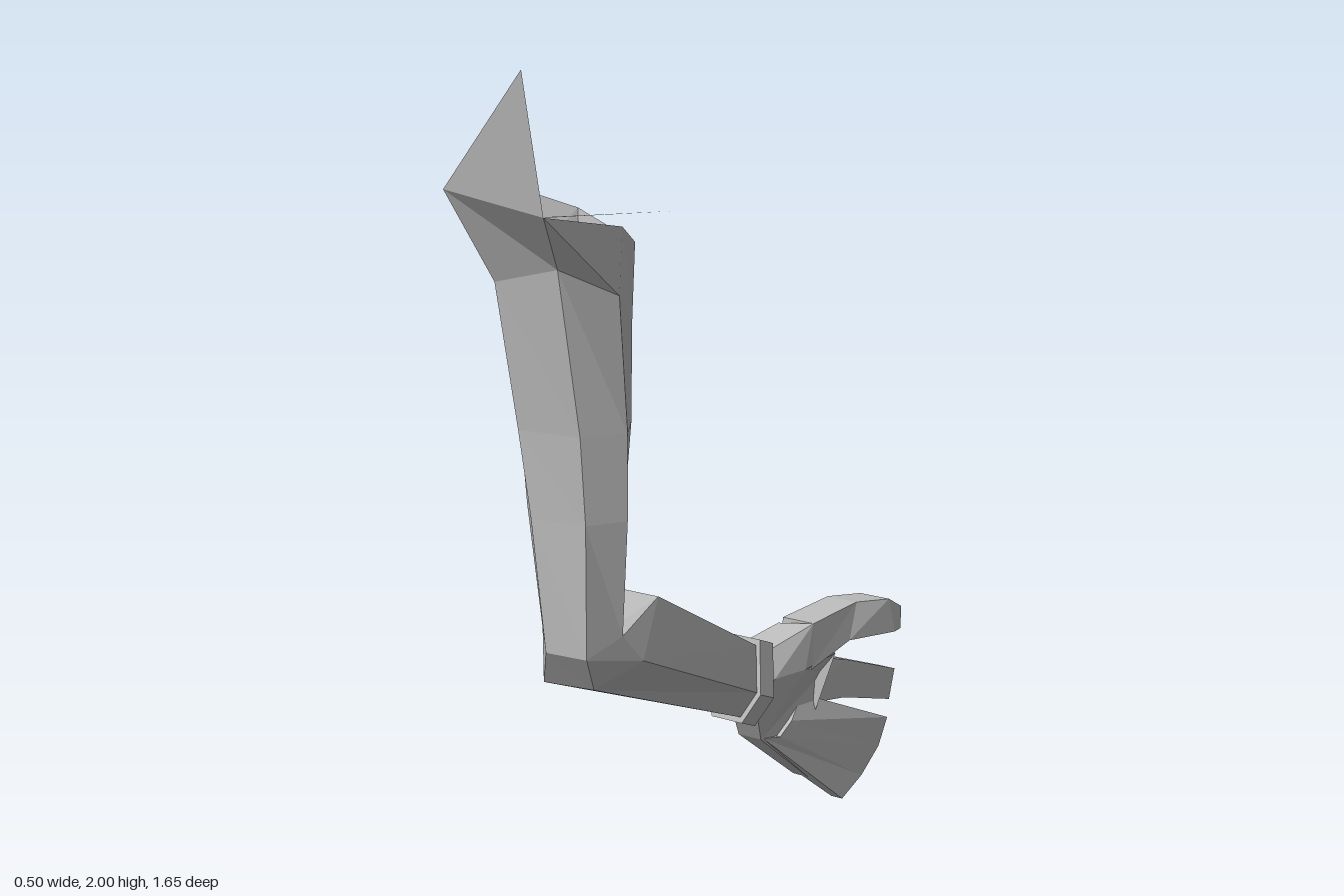
import * as THREE from 'three';

const skin = new THREE.MeshStandardMaterial({ color: 0xbbbbbb, side: THREE.DoubleSide, flatShading: true });
skin.name = 'plain grey';

// Skins a list of closed cross-sections; optional caps close the ends.
function loft(name, rings, capStart = false, capEnd = false) {
  const n = rings[0].length, pos = [];
  const tri = (a, b, c) => pos.push(...a, ...b, ...c);
  for (let i = 0; i < rings.length - 1; i++) {
    for (let j = 0; j < n; j++) {
      const k = (j + 1) % n, p = rings[i], q = rings[i + 1];
      tri(p[j], q[j], q[k]);
      tri(p[j], q[k], p[k]);
    }
  }
  const first = rings[0], last = rings[rings.length - 1];
  for (let j = 1; j < n - 1; j++) {
    if (capStart) tri(first[0], first[j], first[j + 1]);
    if (capEnd) tri(last[0], last[j + 1], last[j]);
  }
  return meshFrom(name, pos);
}

function meshFrom(name, pos) {
  const g = new THREE.BufferGeometry();
  g.setAttribute('position', new THREE.Float32BufferAttribute(pos, 3));
  g.computeVertexNormals();
  const m = new THREE.Mesh(g, skin);
  m.name = name;
  return m;
}

// Scales a ring about its own centre, then shifts it.
function resize(ring, s, shift) {
  const c = [0, 1, 2].map(a => ring.reduce((t, p) => t + p[a], 0) / ring.length);
  return ring.map(p => p.map((v, a) => c[a] + (v - c[a]) * s + shift[a]));
}

// Four-sided section: upper and lower edge at (y, z), spanning x0 to x1.
const quad = (x0, x1, yTop, zTop, yLow, zLow) =>
  [[x0, yLow, zLow], [x1, yLow, zLow], [x1, yTop, zTop], [x0, yTop, zTop]];

export function createModel() {
  const group = new THREE.Group();
  group.name = 'arm';

  // Ring order: front left, front right, right, back right, back left, left
  const rim = [[-.12, 1.735, .79], [.15, 1.695, .78], [.13, 1.645, .5], [.1, 1.6, .42], [-.1, 1.655, .375], [-.25, 1.74, .56]];
  const shoulder = [[-.07, 1.53, .69], [.1, 1.57, .68], [.145, 1.5, .53], [.09, 1.42, .42], [-.06, 1.42, .42], [-.145, 1.5, .56]];
  const bicep = [[-.05, 1.2, .645], [.11, 1.2, .625], [.165, 1.2, .53], [.09, 1.2, .425], [-.04, 1.2, .43], [-.13, 1.2, .55]];
  const lowerBicep = [[-.03, 1, .63], [.11, 1, .61], [.155, 1, .52], [.08, 1, .44], [-.04, 1, .45], [-.12, 1, .54]];
  const elbow = [[-.01, .69, .61], [.1, .69, .6], [.13, .73, .51], [.09, .745, .48], [-.04, .75, .48], [-.08, .72, .54]];
  const forearm = [[-.07, .595, .55], [.07, .6, .54], [.14, .66, .45], [.08, .77, .32], [-.1, .77, .32], [-.15, .64, .4]];
  const wrist = [[-.07, .355, -.09], [.01, .355, -.09], [.045, .42, -.11], [.02, .53, -.14], [-.09, .53, -.14], [-.115, .44, -.12]];

  group.add(loft('tornCollar', [rim, shoulder]));
  group.add(loft('upperArm', [shoulder, bicep, lowerBicep, elbow]));
  group.add(loft('forearm', [elbow, forearm, wrist]));

  // Loose torn shards on the collar
  group.add(meshFrom('tallShard', [-.12, 1.735, .79, .15, 1.695, .78, .14, 2, .83]));
  group.add(meshFrom('sideShard', [.15, 1.695, .78, .25, 1.685, .47, .125, 1.69, .73]));

  // Wrist band, a solid ring around the wrist
  const step = [0, -.022, -.055];
  group.add(loft('wristBand', [
    resize(wrist, .9, [0, 0, 0]), resize(wrist, 1.16, [0, 0, 0]),
    resize(wrist, 1.16, step), resize(wrist, .9, step),
  ]));

  // Palm
  group.add(loft('palm', [
    resize(wrist, .85, [0, -.01, -.04]),
    [[-.08, .35, -.17], [0, .35, -.17], [.035, .43, -.2], [.01, .5, -.22], [-.08, .5, -.22], [-.11, .42, -.2]],
    [[-.1, .25, -.23], [-.03, .25, -.23], [.05, .43, -.31], [.045, .54, -.35], [-.05, .53, -.33], [-.15, .38, -.28]],
    [[-.085, .085, -.45], [-.04, .085, -.45], [-.03, .36, -.5], [.03, .43, -.47], [-.06, .44, -.47], [-.135, .38, -.48]],
  ], false, true));

  // Thumb
  group.add(loft('thumb', [
    quad(-.05, .045, .54, -.35, .42, -.34),
    quad(-.03, .06, .56, -.52, .465, -.49),
    quad(.01, .1, .555, -.61, .46, -.64),
    quad(.04, .085, .515, -.69, .455, -.69),
  ], true, true));

  // Index finger
  group.add(loft('indexFinger', [
    quad(-.135, -.04, .41, -.45, .29, -.42),
    quad(-.12, -.03, .37, -.6, .265, -.6),
    quad(-.07, -.02, .29, -.825, .21, -.8),
  ], true, true));

  // Closed remaining fingers as one fanned slab: [baseZ, baseY, tipZ, tipY, x0, x1]
  const fan = [
    [-.42, .32, -.77, .17, -.13, -.04],
    [-.35, .27, -.73, .1, -.13, -.02],
    [-.3, .24, -.65, .04, -.12, -.02],
    [-.24, .25, -.56, 0, -.1, -.03],
  ];
  group.add(loft('closedFingers', fan.map(([bz, by, tz, ty, x0, x1]) =>
    [[x0, by, bz], [x1, by, bz], [-.005, ty, tz], [-.04, ty, tz]]).reverse(), true, true));

  return group;
}
